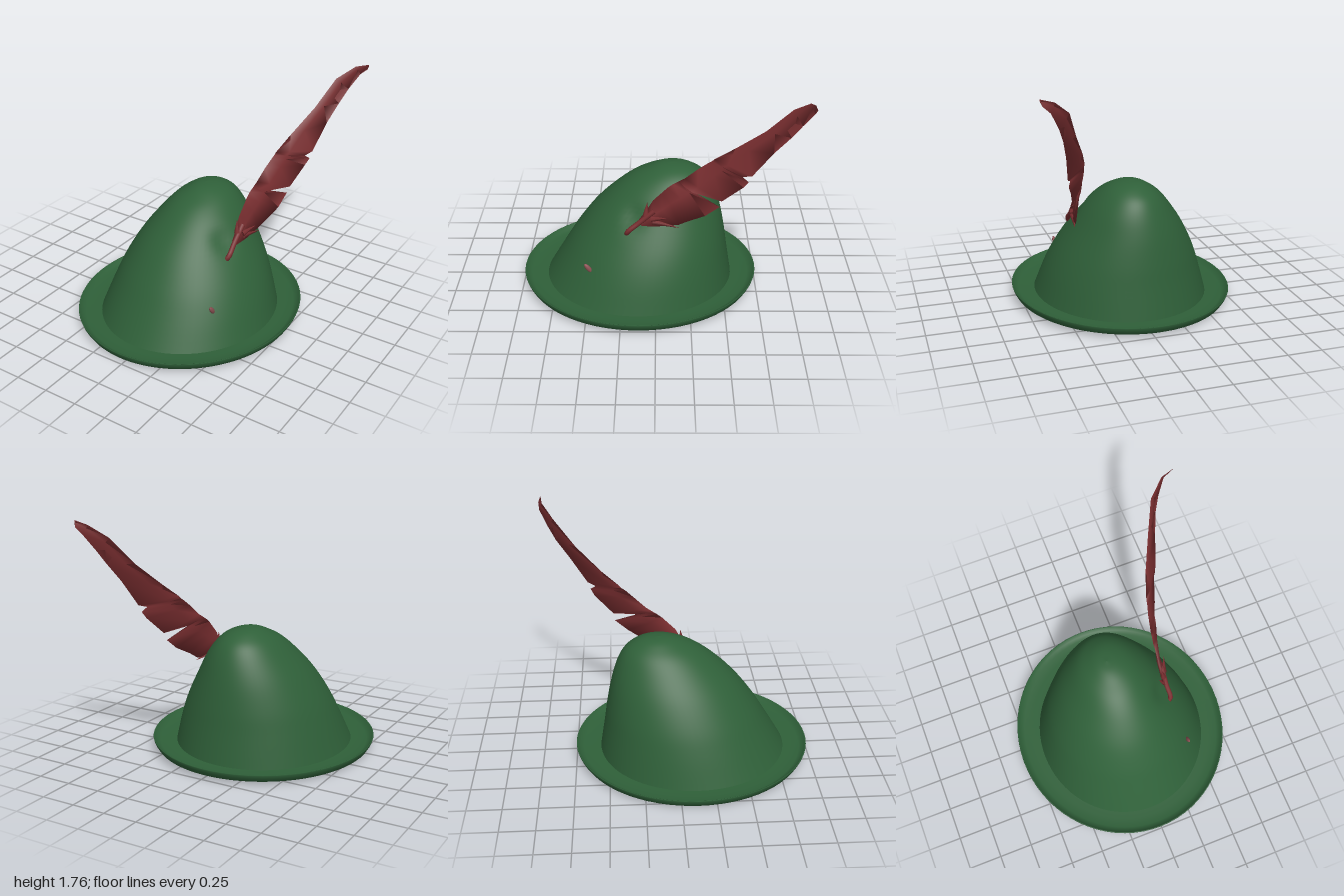
import * as THREE from 'three';

const V = (x, y, z) => new THREE.Vector3(x, y, z);

// Skin a list of equal-length closed rings of points
function loft(rings) {
  const n = rings[0].length, index = [];
  for (let j = 0; j < rings.length - 1; j++) {
    for (let i = 0; i < n; i++) {
      const a = j * n + i, b = j * n + (i + 1) % n;
      index.push(a, a + n, b, b, a + n, b + n);
    }
  }
  const geo = new THREE.BufferGeometry().setFromPoints(rings.flat());
  geo.setIndex(index);
  geo.computeVertexNormals();
  return geo;
}

function ellipse(xl, xr, zf, zb, y, n = 72) {
  return Array.from({ length: n }, (_, i) => {
    const a = (i / n) * Math.PI * 2;
    return V((xl + xr) / 2 + (xr - xl) / 2 * Math.cos(a), y, (zf + zb) / 2 + (zf - zb) / 2 * Math.sin(a));
  });
}

export function createModel() {
  const green = new THREE.MeshStandardMaterial({ color: 0x2f6039, side: THREE.DoubleSide });
  green.name = 'green felt';
  const red = new THREE.MeshStandardMaterial({ color: 0x792e30, side: THREE.DoubleSide });
  red.name = 'feather red';
  const pink = new THREE.MeshStandardMaterial({ color: 0x8a5052 });
  pink.name = 'quill pink';

  const hat = new THREE.Group();
  hat.name = 'featheredHat';
  const add = (name, geo, mat, parent = hat) => {
    const mesh = new THREE.Mesh(geo, mat);
    mesh.name = name;
    parent.add(mesh);
    return mesh;
  };

  // Crown levels: y, left, right, front, back
  const levels = [
    [0.03, -0.655, 0.645, 0.83, -0.57],
    [0.25, -0.585, 0.575, 0.70, -0.535],
    [0.42, -0.52, 0.50, 0.595, -0.51],
    [0.60, -0.425, 0.395, 0.46, -0.475],
    [0.75, -0.32, 0.30, 0.31, -0.43],
    [0.85, -0.235, 0.215, 0.18, -0.375],
    [0.91, -0.155, 0.14, 0.06, -0.30],
    [0.942, -0.09, 0.06, -0.03, -0.22],
    [0.953, -0.021, -0.019, -0.119, -0.121],
  ];
  const across = new THREE.CatmullRomCurve3(levels.map(l => V(l[1], l[0], l[2])), false, 'catmullrom');
  const along = new THREE.CatmullRomCurve3(levels.map(l => V(l[3], l[0], l[4])), false, 'catmullrom');
  const crownRings = [];
  for (let j = 0; j <= 40; j++) {
    const a = across.getPoint(j / 40), b = along.getPoint(j / 40);
    const ring = ellipse(a.x, a.z, b.x, b.z, a.y);
    // Soft dent where the feather is pinned
    for (const p of ring) {
      if (p.x > 0) p.x -= 0.03 * Math.exp(-((p.y - 0.67) ** 2 + (p.z - 0.16) ** 2) / 0.006);
    }
    crownRings.push(ring);
  }
  add('crown', loft(crownRings), green);

  // Brim profile: 0 = crown base, 1 = outer edge; underside, turned-up lip, top
  const profile = [[0, 0.03], [0.03, 0.014], [0.4, 0.012], [0.72, 0.014], [0.86, 0.025], [0.96, 0.055],
    [1, 0.076], [0.985, 0.081], [0.95, 0.078], [0.86, 0.056], [0.7, 0.044], [0.35, 0.04], [0, 0.04]];
  const mix = THREE.MathUtils.lerp;
  const brimRings = profile.map(([t, y]) => {
    const ring = ellipse(mix(-0.65, -0.83, t), mix(0.64, 0.81, t), mix(0.82, 1, t), mix(-0.565, -0.755, t), y);
    for (const p of ring) p.y += 0.018 * p.x;
    return ring;
  });
  add('brim', loft(brimRings), green);

  // Feather vane stations: upper edge xyz, lower edge xyz
  const feather = new THREE.Group();
  feather.name = 'feather';
  hat.add(feather);
  const stations = [
    [0.355, 0.68, 0.12, 0.375, 0.64, 0.10],
    [0.345, 0.76, 0.06, 0.39, 0.645, 0.0],
    [0.345, 0.83, 0.02, 0.40, 0.665, -0.16],
    [0.345, 0.89, -0.04, 0.43, 0.71, -0.22],
    [0.345, 0.93, -0.08, 0.465, 0.775, -0.34],
    [0.345, 0.96, -0.12, 0.478, 0.855, -0.44],
    [0.35, 0.985, -0.16, 0.41, 0.93, -0.25],
    [0.355, 1.01, -0.20, 0.495, 0.907, -0.45],
    [0.37, 1.09, -0.29, 0.54, 1.04, -0.59],
    [0.385, 1.14, -0.35, 0.56, 1.09, -0.62],
    [0.39, 1.16, -0.38, 0.54, 1.12, -0.58],
    [0.395, 1.18, -0.40, 0.57, 1.14, -0.64],
    [0.44, 1.28, -0.53, 0.61, 1.33, -0.77],
    [0.53, 1.45, -0.72, 0.65, 1.46, -0.87],
    [0.61, 1.64, -0.88, 0.69, 1.56, -0.93],
    [0.72, 1.73, -0.965, 0.75, 1.67, -0.99],
    [0.815, 1.757, -0.98, 0.80, 1.715, -0.998],
  ];
  const vaneRings = stations.map(([ux, uy, uz, lx, ly, lz], i) => {
    const up = V(ux, uy, uz), low = V(lx, ly, lz);
    const spine = up.clone().lerp(low, 0.35), h = 0.016 * (1 - i / 20);
    return [up, spine.clone().add(V(h, 0, 0)), low, spine.clone().add(V(-h, 0, 0))];
  });
  add('vane', loft(vaneRings), red, feather);

  // Bare quill entering the felt, and its tip emerging lower down
  const tube = (pts, r) => new THREE.TubeGeometry(new THREE.CatmullRomCurve3(pts), 12, r, 8);
  add('quill', tube([V(0.345, 0.55, 0.21), V(0.372, 0.59, 0.20), V(0.368, 0.66, 0.12), V(0.37, 0.76, 0.01)], 0.018), red, feather);
  const tip = add('quillTip', new THREE.SphereGeometry(1, 12, 8), pink, feather);
  tip.scale.set(0.014, 0.044, 0.018);
  tip.position.set(0.415, 0.31, 0.485);
  tip.rotation.x = 0.65;

  // Loose downy barbs near the quill
  const barbs = [
    [V(0.36, 0.72, 0.07), V(0.35, 0.82, 0.06)],
    [V(0.38, 0.70, 0.03), V(0.425, 0.73, -0.08)],
    [V(0.38, 0.68, 0.02), V(0.41, 0.645, -0.17)],
    [V(0.36, 0.67, 0.10), V(0.325, 0.67, 0.06)],
  ];
  for (const [from, to] of barbs) {
    const dir = to.clone().sub(from);
    const barb = add('barb', new THREE.ConeGeometry(0.022, dir.length(), 6), red, feather);
    barb.position.copy(from).lerp(to, 0.5);
    barb.quaternion.setFromUnitVectors(V(0, 1, 0), dir.normalize());
  }
  return hat;
}
